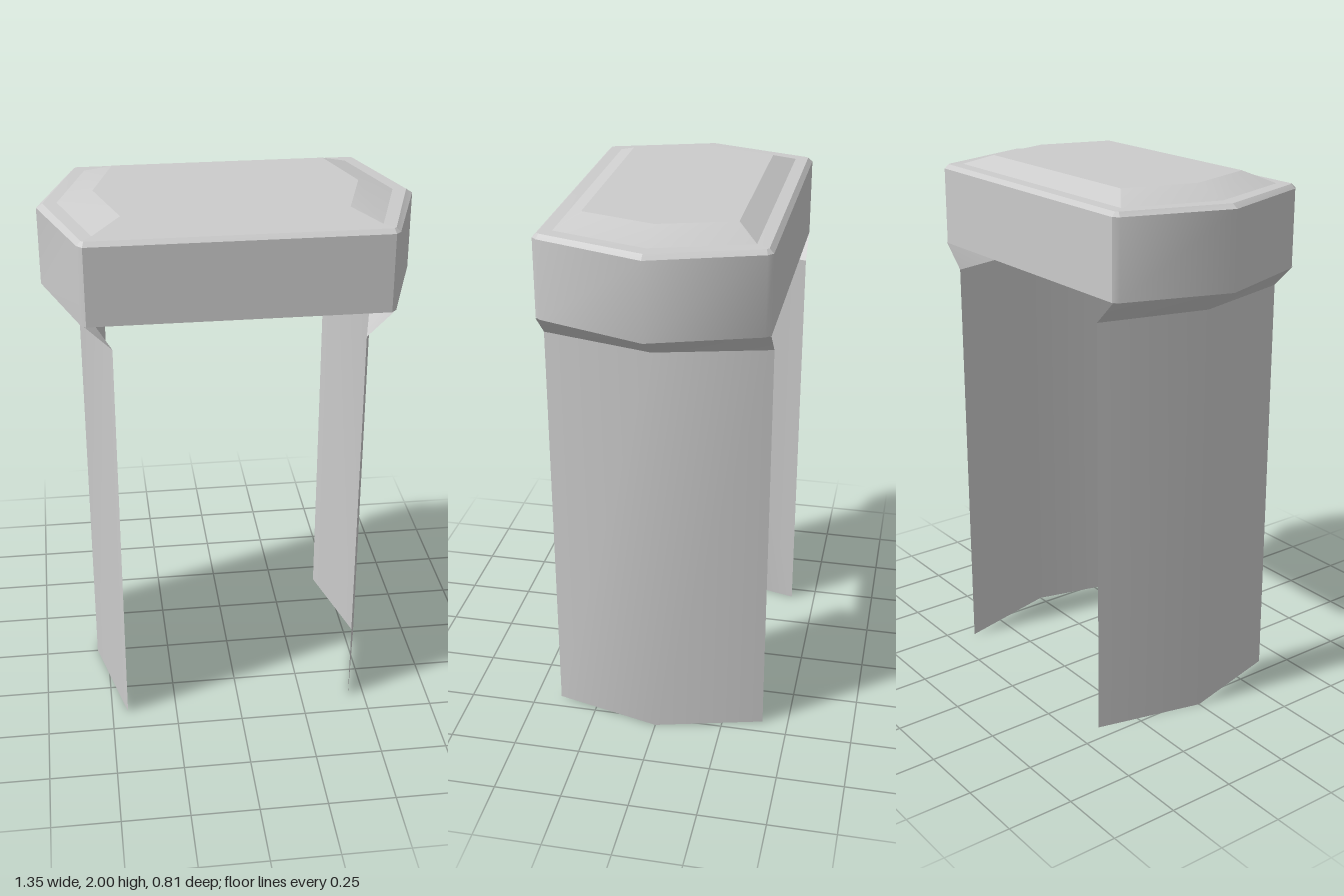
import * as THREE from 'three';
import { toCreasedNormals } from 'three/addons/utils/BufferGeometryUtils.js';

// Elongated hexagon: pointed at +x and -x, corners cut by a small chamfer
function hexRing(y, tip, cx, cz, cut) {
  const half = [
    [cx, -cz], [cx + cut, -cz + cut], [tip, 0], [cx + cut, cz - cut], [cx, cz],
  ];
  return [...half, ...half.map(([x, z]) => [-x, -z])]
    .map(([x, z]) => new THREE.Vector3(x, y, z));
}

// Open V-shaped section on one side of the model
function veeRing(y, tip, end, depth, side) {
  return [[end, -depth], [tip, 0], [end, depth]]
    .map(([x, z]) => new THREE.Vector3(x * side, y, z * side));
}

// Skin between successive sections, optionally closed round and capped on top
function loft(rings, { closed = false, cap = false, crease = 0.6 } = {}) {
  const n = rings[0].length;
  const pos = [];
  const tri = (...pts) => pts.forEach((p) => pos.push(p.x, p.y, p.z));
  for (let r = 0; r < rings.length - 1; r++) {
    for (let i = 0; i < (closed ? n : n - 1); i++) {
      const j = (i + 1) % n;
      const [a, b, c, d] = [rings[r][i], rings[r][j], rings[r + 1][i], rings[r + 1][j]];
      tri(a, c, b);
      tri(b, c, d);
    }
  }
  if (cap) {
    const last = rings[rings.length - 1];
    const centre = new THREE.Vector3(0, last[0].y, 0);
    last.forEach((p, i) => tri(p, centre, last[(i + 1) % n]));
  }
  const geo = new THREE.BufferGeometry();
  geo.setAttribute('position', new THREE.Float32BufferAttribute(pos, 3));
  return toCreasedNormals(geo, crease);
}

export function createModel() {
  const group = new THREE.Group();
  const material = new THREE.MeshStandardMaterial({ color: 0xcccccc, side: THREE.DoubleSide });
  const add = (name, geo) => {
    const mesh = new THREE.Mesh(geo, material);
    mesh.name = name;
    group.add(mesh);
  };

  // Vertical wall of the hollow head
  add('headWall', loft([
    hexRing(1.66, 0.673, 0.525, 0.403, 0.018),
    hexRing(1.945, 0.673, 0.525, 0.403, 0.018),
  ], { closed: true, crease: 0.75 }));

  // Bevelled rim, flat border and raised centre panel
  add('headTop', loft([
    hexRing(1.945, 0.673, 0.525, 0.403, 0.018),
    hexRing(1.96, 0.65, 0.52, 0.387, 0.008),
    hexRing(1.961, 0.6, 0.49, 0.342, 0.003),
    hexRing(2.0, 0.473, 0.39, 0.268, 0.003),
  ], { closed: true, cap: true, crease: 0.25 }));

  // Thin bent legs, flaring out to meet the head
  for (const [name, side] of [['leftLeg', 1], ['rightLeg', -1]]) {
    add(name, loft([
      veeRing(0, 0.542, 0.44, 0.403, side),
      veeRing(1.572, 0.542, 0.44, 0.403, side),
      veeRing(1.66, 0.673, 0.53, 0.403, side),
    ]));
  }
  return group;
}
